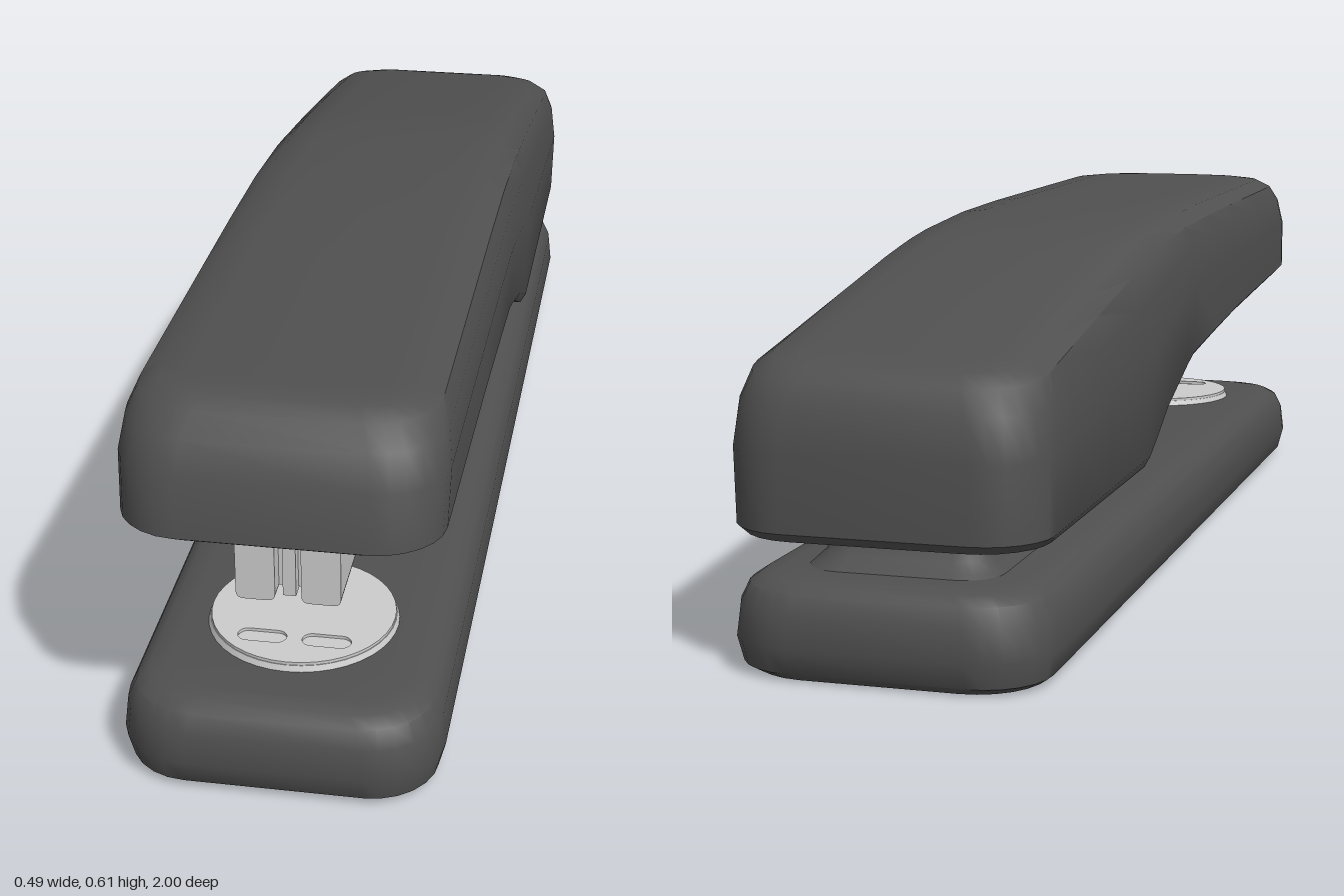
import * as THREE from 'three';
import { toCreasedNormals } from 'three/addons/utils/BufferGeometryUtils.js';

const dark = new THREE.MeshStandardMaterial({ color: 0x505050 });
const metal = new THREE.MeshStandardMaterial({ color: 0xcccccc });

// Piecewise-linear curve through [z, y] points with rising z
function curve(points) {
  return (z) => {
    if (z <= points[0][0]) return points[0][1];
    for (let i = 1; i < points.length; i++) {
      const [z0, y0] = points[i - 1], [z1, y1] = points[i];
      if (z <= z1) return y0 + ((y1 - y0) * (z - z0)) / (z1 - z0);
    }
    return points[points.length - 1][1];
  };
}

// Rounded-rectangle outline: half width w, front and back ends, corner radius r
function outline(w, front, back, r, knots) {
  const half = [];
  const rx = Math.min(r, w), steps = 6;
  for (let i = 0; i <= steps; i++) {
    const a = (i / steps) * Math.PI / 2;
    half.push([w - rx + rx * Math.sin(a), back + r - r * Math.cos(a)]);
  }
  knots.forEach((z) => half.push([w, z]));
  for (let i = 0; i <= steps; i++) {
    const a = (i / steps) * Math.PI / 2;
    half.push([w - rx + rx * Math.cos(a), front - r + r * Math.sin(a)]);
  }
  return half.concat(half.slice().reverse().map(([x, z]) => [-x, z]));
}

// Skin over rings [level, half width, front, back, radius]; yAt(level, z) gives the height
function loft(rings, knots, yAt) {
  const pos = [], index = [];
  let n = 0;
  rings.forEach(([s, w, front, back, r]) => {
    const loop = outline(w, front, back, r, knots);
    n = loop.length;
    loop.forEach(([x, z]) => pos.push(x, yAt(s, z), z));
  });
  for (let k = 0; k < rings.length - 1; k++) {
    for (let i = 0; i < n; i++) {
      const a = k * n + i, b = k * n + ((i + 1) % n);
      index.push(a, a + n, b + n, a, b + n, b);
    }
  }
  const g = new THREE.BufferGeometry();
  g.setAttribute('position', new THREE.Float32BufferAttribute(pos, 3));
  g.setIndex(index);
  return toCreasedNormals(g, 0.65);
}

export function createModel() {
  const model = new THREE.Group();
  const add = (name, geometry, material, x = 0, y = 0, z = 0, parent = model) => {
    const mesh = new THREE.Mesh(geometry, material);
    mesh.name = name;
    mesh.position.set(x, y, z);
    parent.add(mesh);
    return mesh;
  };
  const box = (w, h, d) => new THREE.BoxGeometry(w, h, d);
  const level = (s) => s;

  // Base with soft edges
  add('base', loft([
    [0, 0, 0.97, -0.97, 0.1], [0, 0.22, 0.975, -0.975, 0.1], [0.012, 0.235, 0.99, -0.99, 0.1],
    [0.05, 0.245, 1, -1, 0.11], [0.1, 0.24, 0.995, -0.995, 0.11], [0.128, 0.227, 0.982, -0.982, 0.1],
    [0.14, 0.21, 0.965, -0.965, 0.1], [0.145, 0.18, 0.94, -0.94, 0.09], [0.145, 0, 0.94, -0.94, 0.09],
  ], [], level), dark);

  // Hollow top cover: cavity ceiling, inner wall, lip, outer wall, crown
  const bottom = curve([[-0.33, 0.205], [-0.28, 0.228], [-0.2, 0.27], [-0.05, 0.322], [0, 0.337],
    [0.2, 0.357], [0.4, 0.375], [0.6, 0.388], [0.95, 0.41]]);
  const top = curve([[-0.93, 0.46], [-0.6, 0.525], [-0.4, 0.562], [-0.3, 0.578], [-0.2, 0.588],
    [0, 0.6], [0.2, 0.605], [0.86, 0.611]]);
  add('topCover', loft([
    [0.8, 0, 0.88, -0.93, 0.07], [0.8, 0.2, 0.88, -0.93, 0.07], [0.5, 0.218, 0.92, -0.96, 0.08],
    [0, 0.222, 0.94, -0.965, 0.08],
    [0, 0.23, 0.955, -0.985, 0.1], [0.05, 0.24, 0.97, -0.995, 0.1], [0.5, 0.243, 0.955, -0.995, 0.1],
    [0.75, 0.236, 0.93, -0.985, 0.1], [0.9, 0.223, 0.9, -0.965, 0.1], [0.97, 0.195, 0.875, -0.94, 0.08],
    [0.99, 0.15, 0.855, -0.92, 0.05], [1, 0.08, 0.84, -0.9, 0.03], [1, 0, 0.84, -0.9, 0.03],
  ], [-0.8, -0.6, -0.4, -0.33, -0.28, -0.2, -0.05, 0, 0.2, 0.4, 0.6, 0.78],
  (s, z) => THREE.MathUtils.lerp(bottom(z), top(z), s)), dark);

  // Hinge bracket: flared foot and two upright cheeks
  const hinge = new THREE.Group();
  hinge.name = 'hingeBracket';
  model.add(hinge);
  add('hingeFoot', loft([
    [0.14, 0.155, -0.31, -0.91, 0.06], [0.15, 0.145, -0.33, -0.9, 0.06], [0.165, 0.13, -0.355, -0.88, 0.05],
    [0.185, 0.121, -0.37, -0.865, 0.04], [0.205, 0.118, -0.38, -0.86, 0.03], [0.205, 0, -0.38, -0.86, 0.03],
  ], [], level), dark, 0, 0, 0, hinge);
  for (const side of [-1, 1]) {
    add('hingeCheek', box(0.032, 0.15, 0.46), dark, side * 0.102, 0.26, -0.62, hinge);
  }

  // Staple magazine: two rails with rounded lower edges around a recessed core
  const magazine = new THREE.Group();
  magazine.name = 'magazine';
  model.add(magazine);
  const rail = new THREE.Shape();
  rail.moveTo(-0.03, 0.43);
  rail.lineTo(-0.03, 0.262);
  rail.quadraticCurveTo(-0.03, 0.25, -0.018, 0.25);
  rail.lineTo(0.018, 0.25);
  rail.quadraticCurveTo(0.03, 0.25, 0.03, 0.262);
  rail.lineTo(0.03, 0.43);
  const railGeometry = toCreasedNormals(
    new THREE.ExtrudeGeometry(rail, { depth: 1.7, bevelEnabled: false, curveSegments: 4 }), 0.6);
  for (const side of [-1, 1]) {
    add('magazineRail', railGeometry, metal, side * 0.05, 0, -0.85, magazine);
  }
  add('magazineCore', box(0.04, 0.17, 1.66), metal, 0, 0.345, -0.01, magazine);
  add('staplePusher', box(0.02, 0.175, 0.03), metal, 0, 0.3425, 0.825, magazine);

  // Anvil plate with two clinching slots
  const anvil = new THREE.Group();
  anvil.name = 'anvil';
  anvil.position.set(0, 0.14, 0.73);
  model.add(anvil);
  add('anvilDisc', new THREE.CylinderGeometry(0.145, 0.151, 0.014, 40), metal, 0, 0.007, 0, anvil);
  const plate = new THREE.Shape();
  plate.absarc(0, 0, 0.144, 0, Math.PI * 2);
  for (const side of [-1, 1]) {
    const slot = new THREE.Path();
    slot.absarc(side * 0.05 + 0.022, -0.08, 0.016, -Math.PI / 2, Math.PI / 2);
    slot.absarc(side * 0.05 - 0.022, -0.08, 0.016, Math.PI / 2, Math.PI * 1.5);
    slot.closePath();
    plate.holes.push(slot);
  }
  const plateGeometry = new THREE.ExtrudeGeometry(plate, { depth: 0.006, bevelEnabled: false, curveSegments: 20 });
  plateGeometry.rotateX(-Math.PI / 2);
  add('anvilPlate', plateGeometry, metal, 0, 0.013, 0, anvil);

  return model;
}
